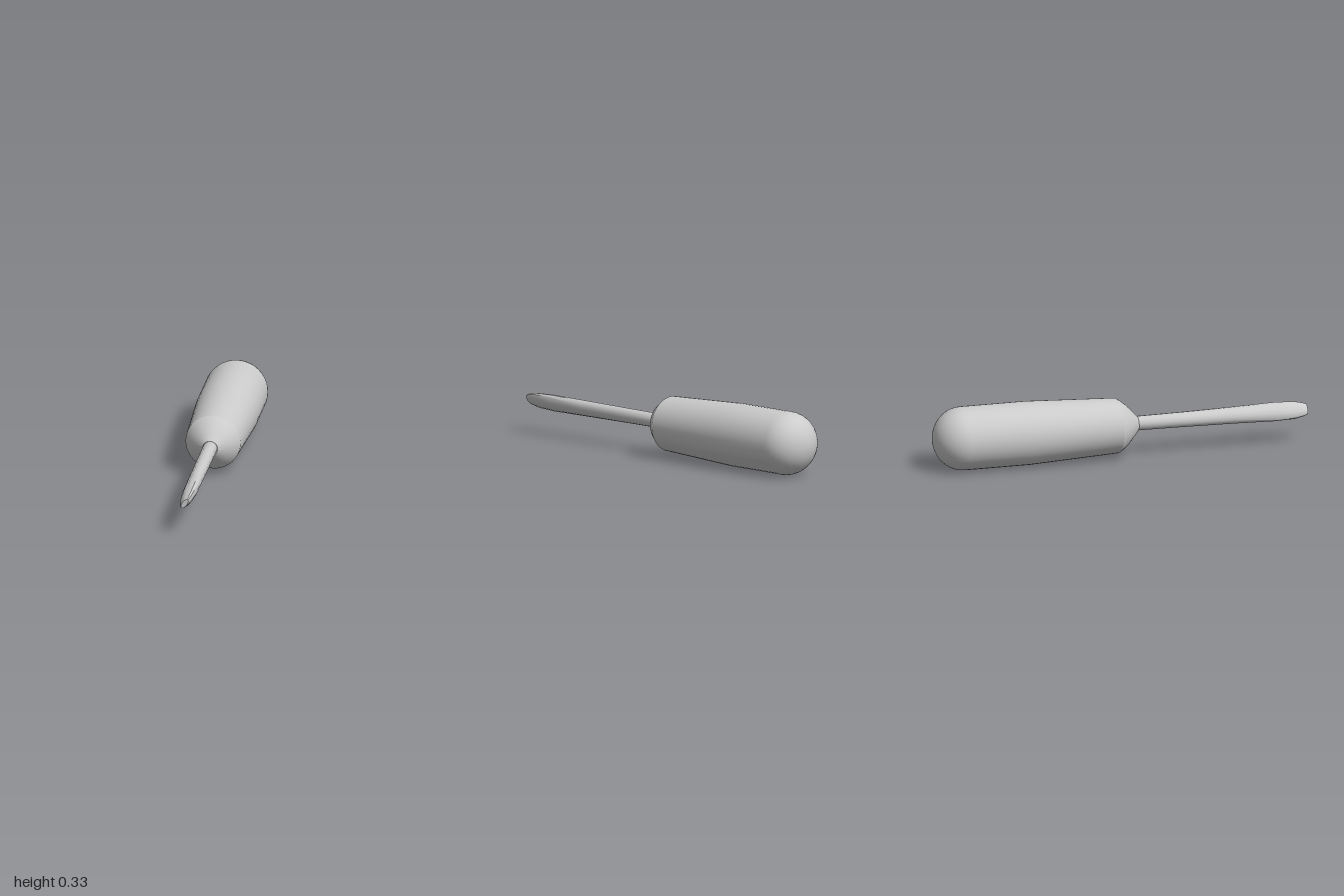
import * as THREE from 'three';
import { toCreasedNormals } from 'three/addons/utils/BufferGeometryUtils.js';

const AXIS_Y = 0.165;

// Handle: turned profile with a domed butt, long taper and conical nose
function handleGeometry() {
  const profile = [];
  for (let i = 0; i <= 10; i++) {
    const a = (i / 10) * Math.PI / 2;
    profile.push(new THREE.Vector2(0.164 * Math.sin(a), -0.845 - 0.155 * Math.cos(a)));
  }
  [[0.164, -0.5], [0.142, -0.02], [0.128, 0], [0.105, 0.03], [0.075, 0.057], [0.04, 0.09], [0, 0.09]]
    .forEach(([r, z]) => profile.push(new THREE.Vector2(r, z)));
  const geo = new THREE.LatheGeometry(profile, 40);
  geo.rotateX(Math.PI / 2);

  // Slight flat along the lower left side
  const pos = geo.attributes.position;
  for (let i = 0; i < pos.count; i++) {
    const over = (pos.getX(i) - pos.getY(i)) * Math.SQRT1_2 - 0.156;
    if (over > 0) {
      pos.setX(i, pos.getX(i) - over * Math.SQRT1_2);
      pos.setY(i, pos.getY(i) + over * Math.SQRT1_2);
    }
  }
  return toCreasedNormals(geo, 0.45);
}

// Shaft: round at the handle, flattening into a tilted blade
function shaftGeometry() {
  // z, half width, half thickness
  const rings = [
    [0.05, 0.037, 0.037], [0.3, 0.039, 0.037], [0.6, 0.044, 0.036],
    [0.82, 0.05, 0.034], [0.93, 0.047, 0.026], [0.98, 0.036, 0.018], [1, 0.028, 0.013],
  ];
  const n = rings.length - 1;
  const geo = new THREE.CylinderGeometry(1, 1, n, 14, n);
  const pos = geo.attributes.position;
  for (let i = 0; i < pos.count; i++) {
    const [z, w, t] = rings[Math.round(pos.getY(i) + n / 2)];
    pos.setXYZ(i, pos.getX(i) * w, z, pos.getZ(i) * t);
  }
  geo.rotateX(Math.PI / 2);
  geo.rotateZ(THREE.MathUtils.degToRad(55));
  return toCreasedNormals(geo, 0.6);
}

export function createModel() {
  const group = new THREE.Group();
  group.name = 'screwdriver';
  const material = new THREE.MeshStandardMaterial({ color: 0xcccccc });
  const add = (name, geometry, y) => {
    const mesh = new THREE.Mesh(geometry, material);
    mesh.name = name;
    mesh.position.y = y;
    group.add(mesh);
  };
  add('handle', handleGeometry(), AXIS_Y);
  add('shaft', shaftGeometry(), AXIS_Y + 0.003);
  return group;
}
